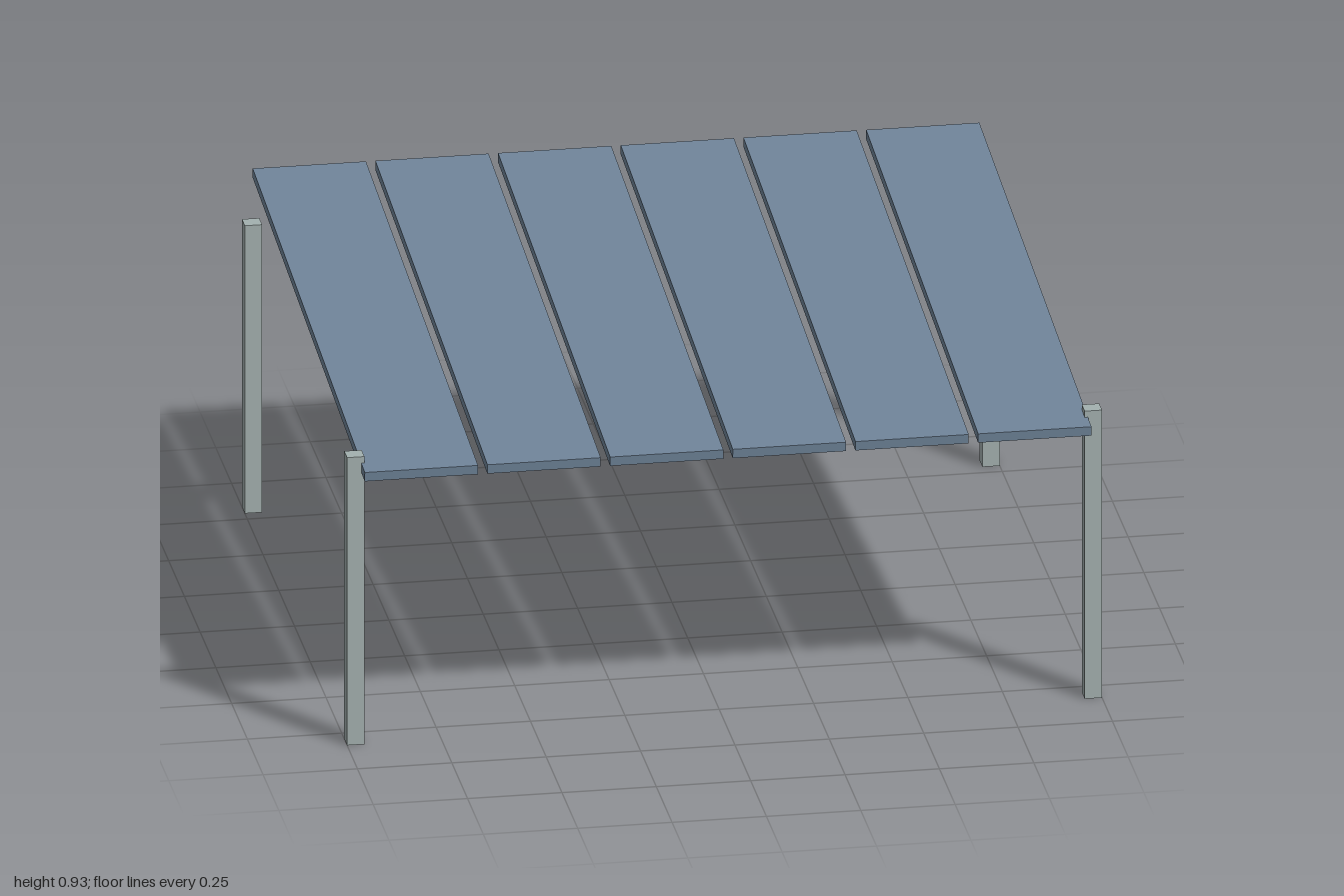
import * as THREE from 'three';

export function createModel() {
  const group = new THREE.Group();
  group.name = 'canopy';
  const panelMat = new THREE.MeshStandardMaterial({ color: 0x6f8499 });
  const postMat = new THREE.MeshStandardMaterial({ color: 0xa3b0af });

  // Sloping roof, higher at the back, made of six separate panels
  const count = 6, pitch = 0.325;
  const roof = new THREE.Group();
  roof.name = 'roof';
  roof.position.y = 0.8475;
  roof.rotation.x = 0.079;
  const panelGeo = new THREE.BoxGeometry(0.3, 0.026, 1.786);
  for (let i = 0; i < count; i++) {
    const panel = new THREE.Mesh(panelGeo, panelMat);
    panel.name = 'roofPanel' + (i + 1);
    panel.position.x = (i - (count - 1) / 2) * pitch;
    roof.add(panel);
  }
  group.add(roof);

  // Four square corner posts
  const size = 0.046, height = 0.812;
  const postGeo = new THREE.BoxGeometry(size, height, size);
  for (const [side, x] of [['Left', 1], ['Right', -1]]) {
    for (const [end, z] of [['front', 1], ['back', -1]]) {
      const post = new THREE.Mesh(postGeo, postMat);
      post.name = end + side + 'Post';
      post.position.set(x * (1 - size / 2), height / 2, z * 0.8125);
      group.add(post);
    }
  }
  return group;
}
